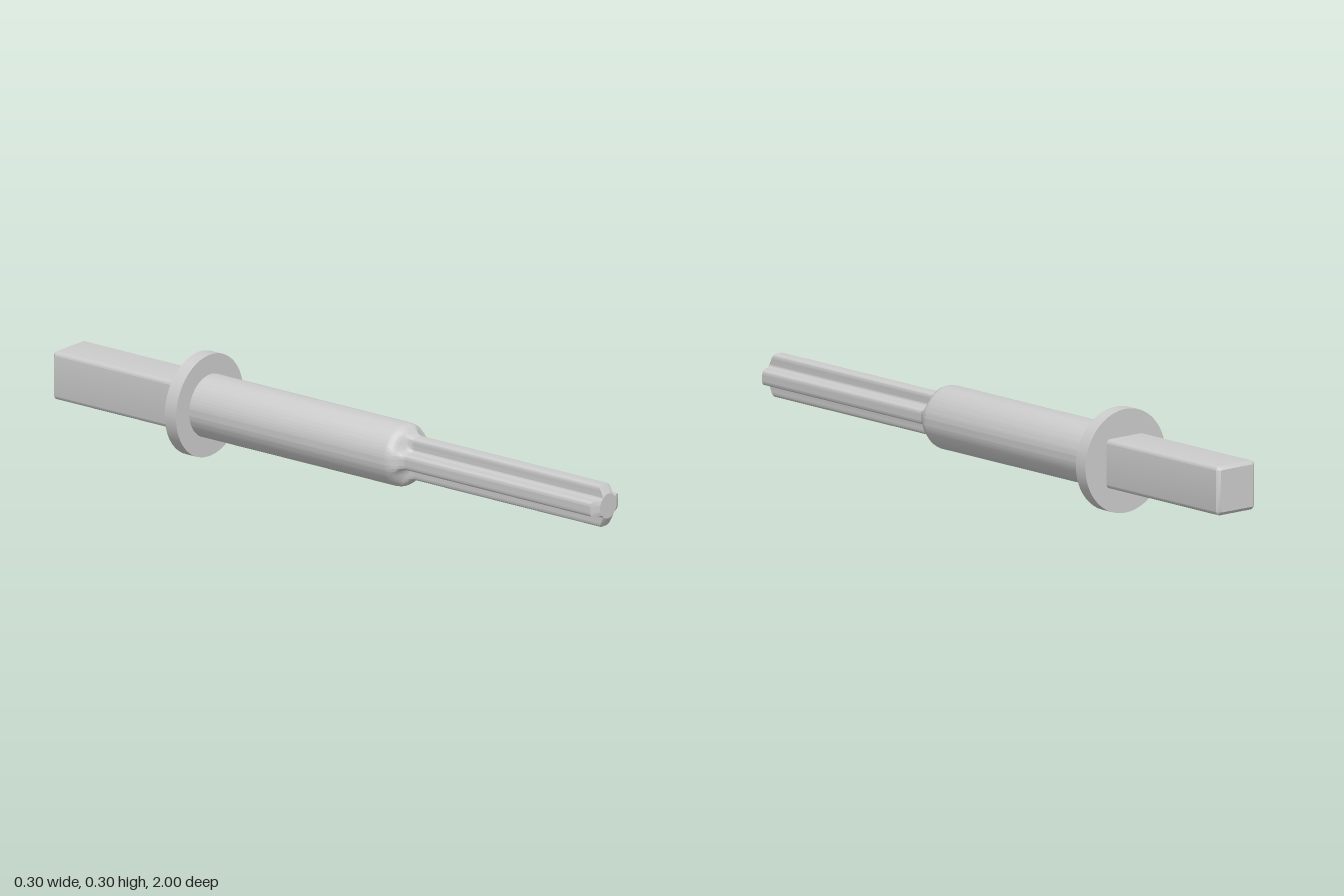
import * as THREE from 'three';
import { toCreasedNormals } from 'three/addons/utils/BufferGeometryUtils.js';

const CENTRE_Y = 0.152;
const BODY_R = 0.093;
const TIP_R = 0.037;
const material = new THREE.MeshStandardMaterial({ color: 0xcccccc });

// Cross outline with rounded arm ends and filleted inner corners
function crossOutline() {
  const L = 0.063, w = 0.0225, ro = 0.011, ri = 0.01, q = Math.PI / 2;
  const path = new THREE.Path();
  for (let k = 0; k < 4; k++) {
    const a = k * q;
    const arc = (x, y, r, from, to, clockwise) => path.absarc(
      x * Math.cos(a) - y * Math.sin(a), x * Math.sin(a) + y * Math.cos(a),
      r, from + a, to + a, clockwise);
    arc(L - ro, -(w - ro), ro, -q, 0, false);
    arc(L - ro, w - ro, ro, 0, q, false);
    arc(w + ri, w + ri, ri, -q, -2 * q, true);
  }
  path.closePath();
  return path.getSpacedPoints(160).slice(0, 160);
}

// Skin over closed rings of equal point count, ordered front to back
function loft(rings) {
  const n = rings[0].length, index = [];
  for (let i = 0; i < rings.length - 1; i++) {
    for (let j = 0; j < n; j++) {
      const a = i * n + j, b = i * n + (j + 1) % n;
      index.push(a, a + n, b, b, a + n, b + n);
    }
  }
  const geometry = new THREE.BufferGeometry().setFromPoints(rings.flat());
  geometry.setIndex(index);
  return toCreasedNormals(geometry, 0.45);
}

function add(group, name, geometry) {
  const mesh = new THREE.Mesh(geometry, material);
  mesh.name = name;
  group.add(mesh);
  return mesh;
}

export function createModel() {
  const group = new THREE.Group();
  group.name = 'driverBit';
  const axis = new THREE.Group();
  axis.name = 'shaft';
  axis.position.y = CENTRE_Y;
  group.add(axis);

  const cross = crossOutline();
  const ring = (fn) => cross.map((p) => fn(p, p.length()));

  // Fluted blade with a conically chamfered tip
  const bladeRings = [
    ring(() => new THREE.Vector3(0, 0, 1)),
    ring((p, r) => {
      const s = Math.min(1, TIP_R / r);
      return new THREE.Vector3(p.x * s, p.y * s, 1);
    }),
    ring((p, r) => new THREE.Vector3(p.x, p.y, 1 - 0.58 * Math.max(0, r - TIP_R))),
    ring((p) => new THREE.Vector3(p.x, p.y, 0.298)),
  ];
  add(axis, 'crossBlade', loft(bladeRings));

  // Round body whose shoulder blends from the cross to a circle: [z, blend]
  const blend = [
    [0.298, 0], [0.29, 0.06], [0.284, 0.15], [0.279, 0.27], [0.275, 0.42],
    [0.271, 0.58], [0.266, 0.74], [0.26, 0.87], [0.252, 0.96], [0.242, 1], [-0.48, 1],
  ];
  add(axis, 'body', loft(blend.map(([z, f]) => ring((p, r) => {
    const s = THREE.MathUtils.lerp(1, BODY_R / r, f);
    return new THREE.Vector3(p.x * s, p.y * s, z);
  }))));

  // Flange disc
  const flange = add(axis, 'flange', new THREE.CylinderGeometry(0.152, 0.152, 0.042, 96));
  flange.rotation.x = Math.PI / 2;
  flange.position.z = -0.495;

  // Square shank with rounded long edges and a chamfered back end
  const h = 0.072, r = 0.014, c = h - r;
  const square = new THREE.Shape();
  [[c, c], [-c, c], [-c, -c], [c, -c]].forEach(([x, y], k) =>
    square.absarc(x, y, r, k * Math.PI / 2, (k + 1) * Math.PI / 2, false));
  square.closePath();
  const shank = add(axis, 'squareShank', toCreasedNormals(new THREE.ExtrudeGeometry(square, {
    depth: 0.49, curveSegments: 6, bevelEnabled: true, bevelSegments: 1,
    bevelSize: 0.01, bevelThickness: 0.01, bevelOffset: -0.01,
  }), 0.5));
  shank.position.z = -0.99;

  return group;
}
